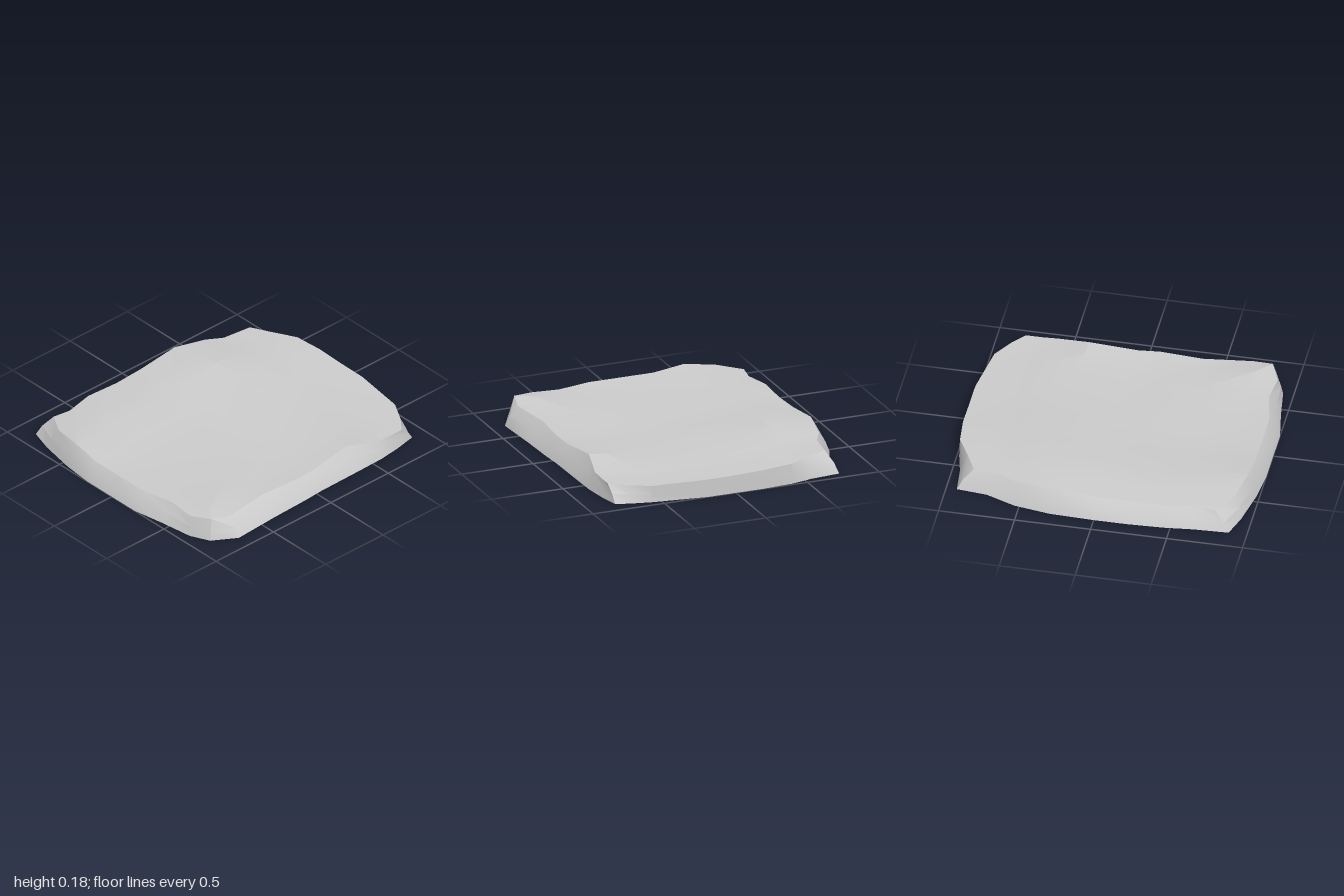
import * as THREE from 'three';
import { toCreasedNormals } from 'three/addons/utils/BufferGeometryUtils.js';

// Each edge station: rim x, y, z then base x, z
const LEFT = [ // back to front
  [-.69, .135, -.83, -.75, -.93], [-.72, .13, -.63, -.77, -.73], [-.78, .135, -.52, -.85, -.53],
  [-.82, .16, -.29, -.89, -.29], [-.82, .125, 0, -.9, 0], [-.81, .122, .22, -.9, .22],
  [-.82, .125, .46, -.89, .46], [-.78, .12, .65, -.87, .65], [-.8, .12, .78, -.86, .88],
];
const RIGHT = [ // back to front
  [.81, .11, -.79, .8, -.89], [.81, .11, -.68, .83, -.74], [.81, .115, -.58, .85, -.58],
  [.76, .155, -.36, .855, -.36], [.78, .122, -.05, .86, -.05], [.79, .125, .1, .87, .1],
  [.77, .125, .38, .88, .38], [.81, .125, .71, .9, .71], [.78, .145, .84, .8, .87],
];
const FRONT = [ // left to right
  LEFT[8], [-.64, .14, .88, -.7, .93], [-.44, .16, .92, -.44, .98], [-.23, .127, .93, -.23, 1],
  [0, .127, .93, 0, 1], [.22, .127, .93, .22, 1], [.45, .127, .88, .45, .96],
  [.64, .127, .9, .67, .93], RIGHT[8],
];
const BACK = [ // left to right
  LEFT[0], [-.55, .135, -.9, -.55, -.95], [-.4, .135, -.98, -.4, -.985], [-.2, .13, -1, -.2, -1],
  [0, .122, -1, 0, -1], [.2, .12, -1, .2, -1], [.57, .112, -.95, .57, -.95],
  [.71, .11, -.87, .7, -.92], RIGHT[0],
];
const N = 8;

// Local swells and hollows of the worn top: x, z, height, radius
const SWELLS = [[.67, .71, .045, .22], [.25, -.34, -.025, .25], [-.2, -.75, .008, .25], [-.45, .45, -.006, .3]];

function makeGeometry(positions, indices, crease) {
  const g = new THREE.BufferGeometry();
  g.setAttribute('position', new THREE.Float32BufferAttribute(positions, 3));
  g.setIndex(indices);
  return toCreasedNormals(g, crease);
}

// Top: a grid blended from the four rim edges, plus the swells
function topGeometry() {
  const pos = [], idx = [];
  for (let i = 0; i <= N; i++) {
    for (let j = 0; j <= N; j++) {
      const v = i / N, u = j / N;
      const p = [0, 1, 2].map((k) =>
        (1 - u) * LEFT[i][k] + u * RIGHT[i][k] + (1 - v) * BACK[j][k] + v * FRONT[j][k]
        - (1 - v) * ((1 - u) * LEFT[0][k] + u * RIGHT[0][k])
        - v * ((1 - u) * LEFT[N][k] + u * RIGHT[N][k]));
      if (i > 0 && i < N && j > 0 && j < N) {
        for (const [x, z, h, r] of SWELLS) {
          p[1] += h * Math.exp(-((p[0] - x) ** 2 + (p[2] - z) ** 2) / (r * r));
        }
      }
      pos.push(...p);
      if (i < N && j < N) {
        const a = i * (N + 1) + j, b = a + N + 1;
        idx.push(a, b, b + 1, a, b + 1, a + 1);
      }
    }
  }
  return makeGeometry(pos, idx, 0.24);
}

// Stations all the way round, clockwise from above
const LOOP = [
  ...BACK.slice(0, N), ...RIGHT.slice(0, N),
  ...FRONT.slice(1).reverse(), ...LEFT.slice(1).reverse(),
];

// Sides: three loops from base to rim, bulging slightly at mid height
function sideGeometry() {
  const pos = [], idx = [], n = LOOP.length;
  for (const [t, h] of [[0, 0], [.36, .5], [1, 1]]) {
    for (const [x, y, z, bx, bz] of LOOP) pos.push(bx + (x - bx) * t, y * h, bz + (z - bz) * t);
  }
  for (let r = 0; r < 2; r++) {
    for (let i = 0; i < n; i++) {
      const a = r * n + i, b = r * n + (i + 1) % n;
      idx.push(a, a + n, b + n, a, b + n, b);
    }
  }
  return makeGeometry(pos, idx, 0.5);
}

// Flat underside: a fan round the centre
function undersideGeometry() {
  const pos = [0, 0, 0], idx = [], n = LOOP.length;
  LOOP.forEach(([, , , bx, bz], i) => {
    pos.push(bx, 0, bz);
    idx.push(0, i + 1, (i + 1) % n + 1);
  });
  return makeGeometry(pos, idx, 0.5);
}

export function createModel() {
  const slab = new THREE.Group();
  slab.name = 'stoneSlab';
  const stone = new THREE.MeshStandardMaterial({ color: 0xcccccc });
  const parts = { wornTop: topGeometry(), bevelledSides: sideGeometry(), underside: undersideGeometry() };
  for (const [name, geometry] of Object.entries(parts)) {
    const mesh = new THREE.Mesh(geometry, stone);
    mesh.name = name;
    slab.add(mesh);
  }
  return slab;
}
